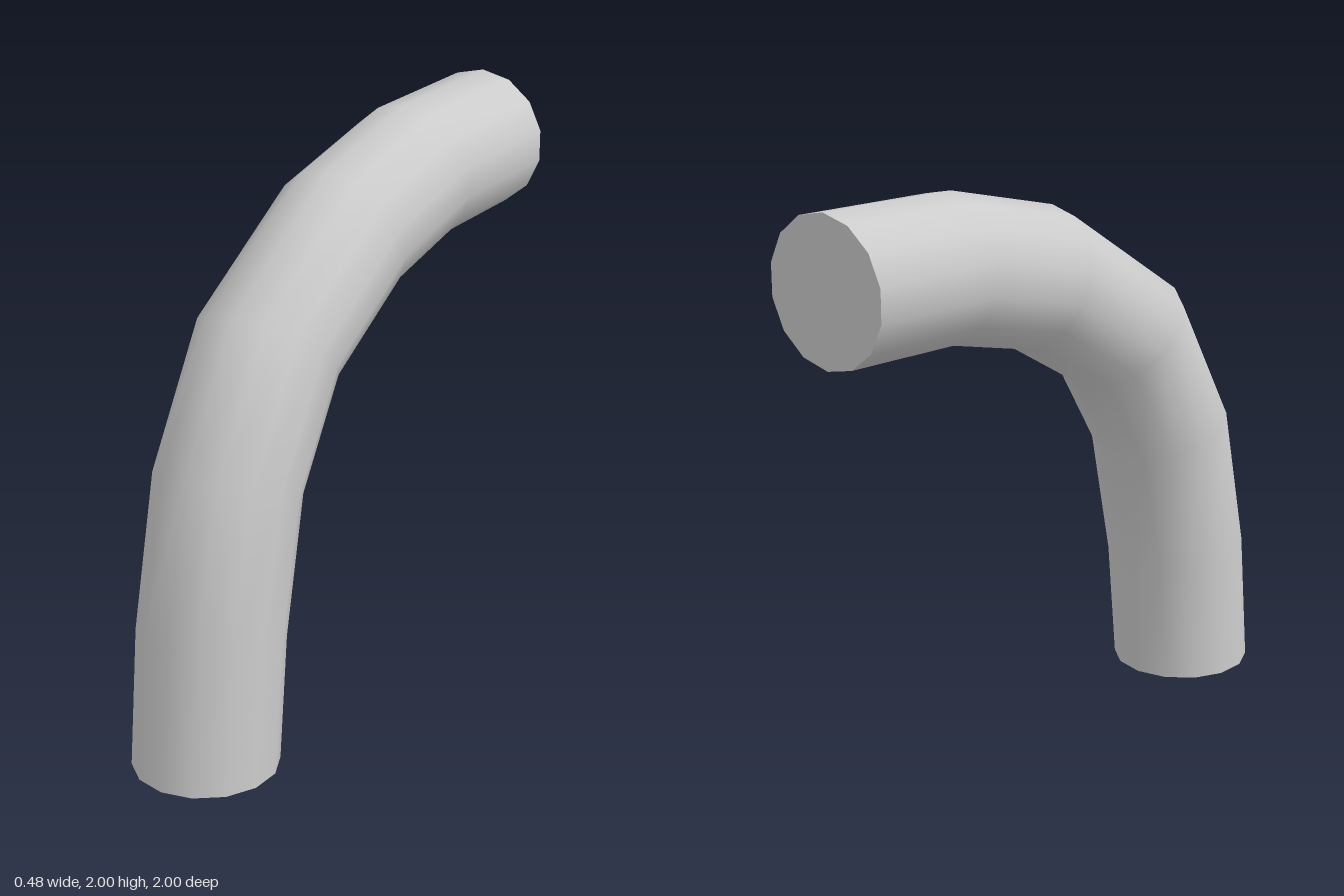
import * as THREE from 'three';
import { toCreasedNormals } from 'three/addons/utils/BufferGeometryUtils.js';

const SIDES = 14;
const RADIUS = 0.2475;

// Outer and inner bend points of each ring, bottom to back end: [zOut, yOut, zIn, yIn]
const RINGS = [
  [1, 0, 0.505, 0],
  [0.954, 0.493, 0.462, 0.418],
  [0.837, 1.022, 0.366, 0.878],
  [0.564, 1.5, 0.173, 1.193],
  [0.023, 1.854, -0.165, 1.396],
  [-0.455, 1.978, -0.528, 1.488],
  [-1, 2, -1, 1.505],
];

// Bend a capped cylinder by placing each of its rings on the curve
function bentPipe() {
  const spans = RINGS.length - 1;
  const geometry = new THREE.CylinderGeometry(RADIUS, RADIUS, 1, SIDES, spans);
  const pos = geometry.attributes.position;
  for (let i = 0; i < pos.count; i++) {
    const [zOut, yOut, zIn, yIn] = RINGS[Math.round((pos.getY(i) + 0.5) * spans)];
    const t = (pos.getZ(i) / RADIUS + 1) / 2; // 0 inside the bend, 1 outside
    pos.setY(i, THREE.MathUtils.lerp(yIn, yOut, t));
    pos.setZ(i, THREE.MathUtils.lerp(zIn, zOut, t));
  }
  return toCreasedNormals(geometry, Math.PI / 3); // smooth wall, sharp end caps
}

export function createModel() {
  const group = new THREE.Group();
  group.name = 'pipeElbow';
  const material = new THREE.MeshStandardMaterial({ color: 0xcccccc });
  const pipe = new THREE.Mesh(bentPipe(), material);
  pipe.name = 'bentPipe';
  group.add(pipe);
  return group;
}
